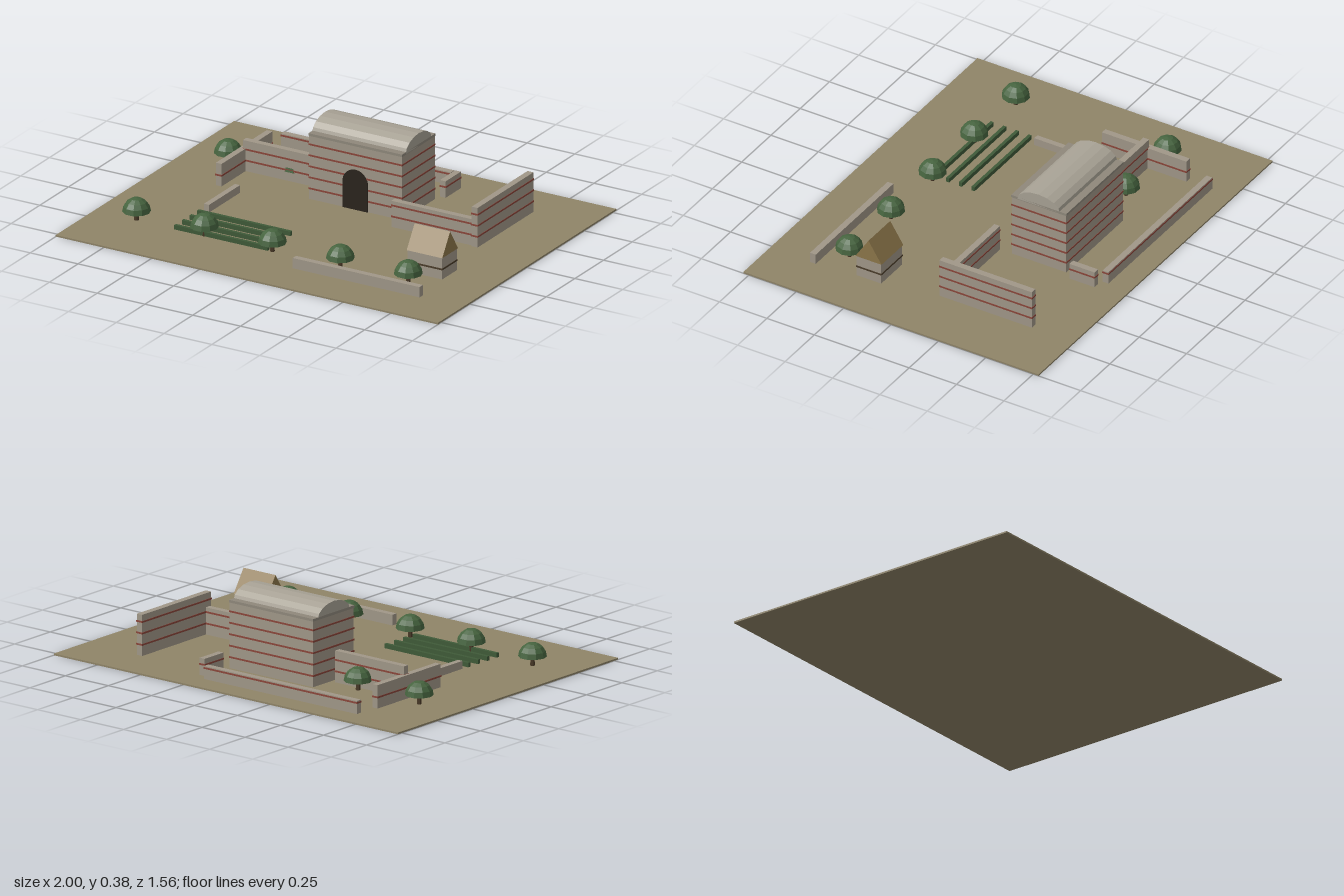
import * as THREE from 'three';

const mat = (color, side = THREE.FrontSide) =>
  new THREE.MeshStandardMaterial({ color, flatShading: true, side });

const M = {
  ground: mat(0x8f8468), stone: mat(0xa09788), band: mat(0x8a463a), vault: mat(0xa8a295),
  door: mat(0x2a241c), thatch: mat(0x8c764a), timber: mat(0x4a3c2a), trunk: mat(0x4a3a28),
  leaf: mat(0x46643f, THREE.DoubleSide), crop: mat(0x3f5a38), cornice: mat(0x8f887b),
};

const GROUND = 0.008;

function add(parent, name, geometry, material) {
  const mesh = new THREE.Mesh(geometry, material);
  mesh.name = name;
  parent.add(mesh);
  return mesh;
}

// Box given by its limits on each axis
function box(parent, name, [x0, x1], [y0, y1], [z0, z1], material) {
  const mesh = add(parent, name, new THREE.BoxGeometry(x1 - x0, y1 - y0, z1 - z0), material);
  mesh.position.set((x0 + x1) / 2, (y0 + y1) / 2, (z0 + z1) / 2);
  return mesh;
}

// Stone block with brick courses at regular heights
function masonry(parent, name, x, z, height) {
  const group = new THREE.Group();
  group.name = name;
  parent.add(group);
  box(group, name + 'Stone', x, [0.003, height], z, M.stone);
  const e = 0.002;
  for (let y = 0.06; y < height - 0.007; y += 0.0535) {
    box(group, 'brickCourse', [x[0] - e, x[1] + e], [y - 0.004, y + 0.004], [z[0] - e, z[1] + e], M.band);
  }
  return group;
}

// Prism with a (z, y) outline running along x
function prismX(parent, name, points, x0, x1, material) {
  const shape = new THREE.Shape(points.map(([z, y]) => new THREE.Vector2(-z, y)));
  const geo = new THREE.ExtrudeGeometry(shape, { depth: x1 - x0, bevelEnabled: false });
  geo.rotateY(Math.PI / 2).translate(x0, 0, 0);
  return add(parent, name, geo, material);
}

function tree(parent, x, z) {
  const group = new THREE.Group();
  group.name = 'tree';
  group.position.set(x, 0, z);
  parent.add(group);
  const trunk = add(group, 'trunk', new THREE.CylinderGeometry(0.009, 0.011, 0.055, 6), M.trunk);
  trunk.position.y = 0.031;
  const crown = add(group, 'crown',
    new THREE.SphereGeometry(0.065, 10, 4, 0, Math.PI * 2, 0, Math.PI / 2), M.leaf);
  crown.position.y = 0.051;
  const underside = add(group, 'crownUnderside', new THREE.CircleGeometry(0.065, 10), M.leaf);
  underside.rotation.x = Math.PI / 2;
  underside.position.y = 0.051;
}

export function createModel() {
  const model = new THREE.Group();
  model.name = 'ruinedChurchSite';

  box(model, 'ground', [-1, 1], [0, GROUND], [-0.778, 0.778], M.ground);

  // Main hall with cornice, barrel vault and arched doorway
  const hall = masonry(model, 'hall', [-0.243, 0.243], [-0.457, -0.17], 0.317);
  box(hall, 'cornice', [-0.245, 0.245], [0.315, 0.327], [-0.459, -0.168], M.cornice);
  const arc = [];
  for (let i = 0; i <= 8; i++) {
    const a = (i / 8) * Math.PI;
    arc.push([-0.313 - 0.113 * Math.cos(a), 0.318 + 0.062 * Math.sin(a)]);
  }
  prismX(hall, 'barrelVault', arc, -0.245, 0.245, M.vault);

  const arch = new THREE.Shape();
  arch.moveTo(-0.066, GROUND);
  arch.lineTo(0.066, GROUND);
  arch.lineTo(0.066, 0.135);
  arch.absarc(0, 0.135, 0.066, 0, Math.PI, false);
  arch.closePath();
  const door = add(hall, 'archedDoorway',
    new THREE.ExtrudeGeometry(arch, { depth: 0.01, bevelEnabled: false, curveSegments: 10 }), M.door);
  door.position.z = -0.176;

  // Ruined walls: name, x limits, z limits, height
  [
    ['backWall', [-0.668, 0.22], [-0.665, -0.635], 0.069],
    ['backStubWall', [0.247, 0.277], [-0.627, -0.495], 0.088],
    ['leftCourtWall', [0.668, 0.699], [-0.557, -0.07], 0.2],
    ['leftWingWall', [0.243, 0.668], [-0.108, -0.078], 0.135],
    ['rightWingWall', [-0.668, -0.268], [-0.332, -0.302], 0.156],
    ['rightCourtWall', [-0.684, -0.654], [-0.537, -0.092], 0.117],
    ['rightLowWall', [-0.572, -0.545], [-0.072, 0.198], 0.045],
    ['frontLowWall', [0.112, 0.776], [0.535, 0.565], 0.058],
  ].forEach(([name, x, z, h]) => masonry(model, name, x, z, h));

  // Small hut with a gabled roof
  const hut = new THREE.Group();
  hut.name = 'hut';
  model.add(hut);
  box(hut, 'hutWalls', [0.575, 0.755], [0.003, 0.113], [0.203, 0.333], M.stone);
  box(hut, 'hutBeam', [0.573, 0.757], [0.053, 0.061], [0.201, 0.335], M.timber);
  prismX(hut, 'hutRoof', [[0.337, 0.113], [0.199, 0.113], [0.268, 0.219]].reverse(), 0.572, 0.758, M.thatch);

  // Planted rows
  for (let i = 0; i < 4; i++) {
    const z = 0.24 + i * 0.0667;
    box(model, 'cropRow', [-0.578, -0.09], [0.003, 0.029], [z - 0.008, z + 0.008], M.crop);
  }

  // Trees along the front and behind the right wing
  for (let i = 0; i < 5; i++) tree(model, -0.78 + i * 0.3555, 0.44);
  for (let i = 0; i < 2; i++) tree(model, -0.78 + i * 0.3555, -0.36);

  return model;
}
